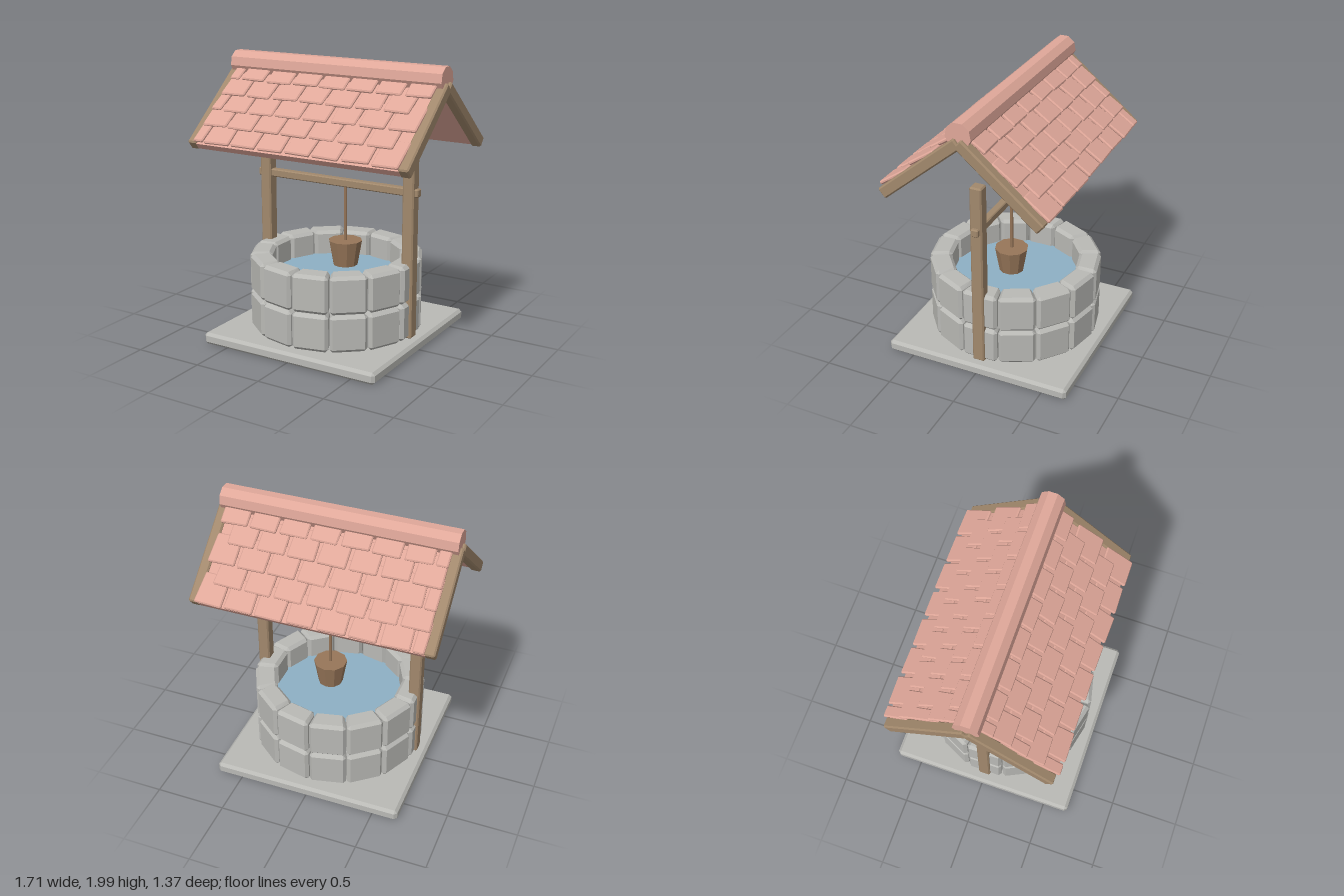
import * as THREE from 'three';
import { ConvexGeometry } from 'three/addons/geometries/ConvexGeometry.js';

const mat = (name, color, extra = {}) => {
  const m = new THREE.MeshStandardMaterial({ color, ...extra });
  m.name = name;
  return m;
};

// Small seeded random, returns -1..1
function makeRandom(seed) {
  return () => {
    seed = (seed * 16807) % 2147483647;
    return (seed / 2147483647) * 2 - 1;
  };
}

// Box with flat chamfered edges; warp may move each corner point
function chamferBox(w, h, d, c, warp) {
  const pts = [];
  for (const sx of [-1, 1]) for (const sy of [-1, 1]) for (const sz of [-1, 1]) {
    for (let axis = 0; axis < 3; axis++) {
      const p = new THREE.Vector3(
        sx * (w / 2 - (axis === 0 ? 0 : c)),
        sy * (h / 2 - (axis === 1 ? 0 : c)),
        sz * (d / 2 - (axis === 2 ? 0 : c)));
      if (warp) warp(p);
      pts.push(p);
    }
  }
  return new ConvexGeometry(pts);
}

export function createModel() {
  const model = new THREE.Group();
  model.name = 'well';
  const stone = mat('stone grey', 0xb9b9b5);
  const wood = mat('wood brown', 0xa1886c);
  const bucketWood = mat('bucket brown', 0x977659);
  const clay = mat('roof clay', 0xdfa799);
  const water = mat('water blue', 0x8db0c4);
  const random = makeRandom(41);

  const add = (parent, name, geometry, material, x = 0, y = 0, z = 0) => {
    const mesh = new THREE.Mesh(geometry, material);
    mesh.name = name;
    mesh.position.set(x, y, z);
    parent.add(mesh);
    return mesh;
  };

  // Square foundation slab
  add(model, 'baseSlab', chamferBox(1.37, 0.085, 1.37, 0.02), stone, 0, 0.0425, 0);

  // Ring wall: two courses of wedge-shaped stones
  const count = 14, outer = 0.605, inner = 0.45;
  const step = (Math.PI * 2) / count;
  const middle = (outer + inner) / 2;
  const stoneWidth = 2 * outer * Math.tan(step / 2) - 0.008;
  const wall = new THREE.Group();
  wall.name = 'stoneWall';
  model.add(wall);
  for (const [bottom, top] of [[0.085, 0.35], [0.354, 0.625]]) {
    const geometry = chamferBox(stoneWidth, top - bottom, outer - inner, 0.023, (p) => {
      p.x *= (middle + p.z) / outer;
      p.z += middle;
    });
    for (let k = 0; k < count; k++) {
      add(wall, 'wallStone', geometry, stone, 0, (bottom + top) / 2, 0).rotation.y = (k + 0.5) * step;
    }
  }

  // Water surface
  const surface = add(model, 'water', new THREE.CircleGeometry(0.47, 28), water, 0, 0.45, 0);
  surface.rotation.x = -Math.PI / 2;

  // Posts and crossbeam
  for (const side of [-1, 1]) {
    add(model, 'post', chamferBox(0.085, 1.37, 0.088, 0.01), wood, side * 0.58, 0.767, 0);
  }
  add(model, 'crossbeam', chamferBox(1.295, 0.056, 0.056, 0.007), wood, 0, 1.127, 0);

  // Rope and bucket
  add(model, 'rope', new THREE.CylinderGeometry(0.012, 0.012, 0.42, 8), bucketWood, 0.07, 0.91, 0);
  const bucket = new THREE.CylinderGeometry(0.12, 0.088, 0.18, 10).toNonIndexed();
  bucket.computeVertexNormals();
  add(model, 'bucket', bucket, bucketWood, 0.07, 0.62, 0);

  // Roof slopes: local z runs down the slope, local y points out of it
  const length = 0.73, pitch = 0.2155, rowStep = 0.1436, tileLength = 0.22;
  for (const side of [1, -1]) {
    const turn = new THREE.Group();
    turn.name = side > 0 ? 'frontRoof' : 'backRoof';
    turn.rotation.y = side > 0 ? 0 : Math.PI;
    model.add(turn);
    const slope = new THREE.Group();
    slope.name = 'roofSlope';
    slope.position.y = 1.865;
    slope.rotation.x = THREE.MathUtils.degToRad(40);
    turn.add(slope);

    add(slope, 'roofPanel', new THREE.BoxGeometry(1.57, 0.05, length), clay, 0, 0, length / 2);
    for (const end of [-1, 1]) {
      add(slope, 'bargeBoard', chamferBox(0.075, 0.08, length, 0.01), wood, end * 0.815, 0, length / 2);
    }

    const addTile = (x, width, row) => {
      const skew = random() * 0.035;
      const geometry = chamferBox(width, 0.026, tileLength + random() * 0.008, 0.008, (p) => {
        p.x *= 1 + skew * Math.sign(p.z);
      });
      const z = 0.735 - row * rowStep - tileLength / 2;
      const tile = add(slope, 'roofTile', geometry, clay, side * x, 0.047 + random() * 0.002, z);
      tile.rotation.set(-0.105, random() * 0.035, 0);
    };
    for (let row = 0; row < 5; row++) {
      const shifted = row % 2 === 0;
      if (shifted) addTile(-0.75, 0.08, row);
      for (let i = 0; i < 7; i++) {
        addTile((shifted ? -0.595 : -0.69) + i * pitch, 0.192 + random() * 0.007, row);
      }
    }
  }

  // Ridge cap
  const ridge = new THREE.CylinderGeometry(0.09, 0.09, 1.66, 9).toNonIndexed();
  ridge.rotateY(-Math.PI / 2);
  ridge.rotateZ(Math.PI / 2);
  ridge.computeVertexNormals();
  add(model, 'ridgeCap', ridge, clay, 0, 1.91, 0);

  return model;
}
